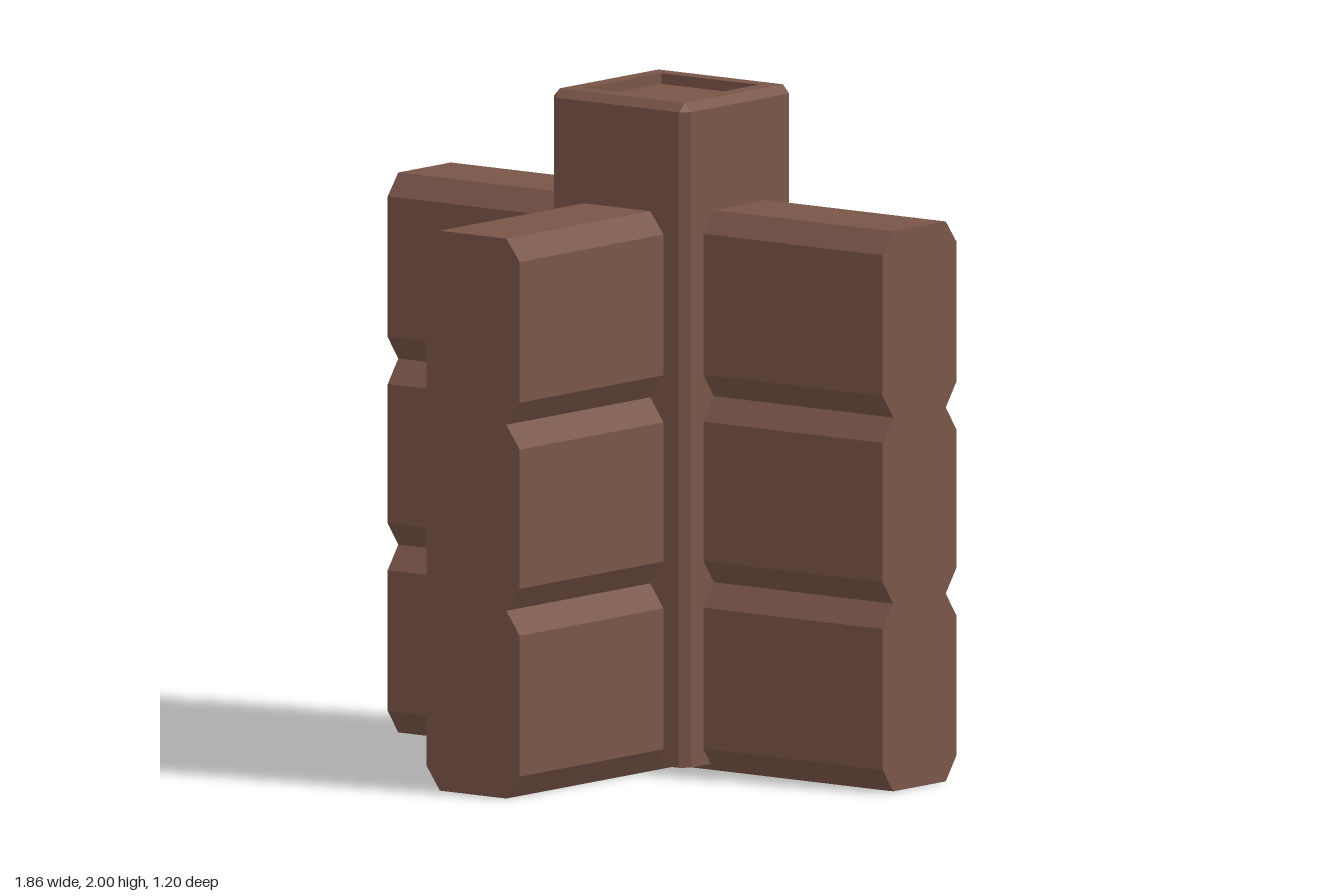
import * as THREE from 'three';

const POST_Z = -0.342;

// Octagonal ring: a square of the given half width with its corners cut.
function ring(half, cut, y) {
  const h = half, k = half - cut;
  return [[h, -k], [h, k], [k, h], [-k, h], [-h, k], [-h, -k], [-k, -h], [k, -h]]
    .map(([x, z]) => new THREE.Vector3(x, y, z));
}

// Skin a stack of rings with flat faces, skipping collapsed triangles.
function skin(rings) {
  const points = [];
  const tri = (a, b, c) => {
    const t = new THREE.Triangle(a, b, c);
    if (t.getArea() > 1e-7) points.push(a, b, c);
  };
  for (let r = 0; r < rings.length - 1; r++) {
    const lo = rings[r], hi = rings[r + 1];
    for (let i = 0; i < 8; i++) {
      const j = (i + 1) % 8;
      tri(lo[i], hi[i], hi[j]);
      tri(lo[i], hi[j], lo[j]);
    }
  }
  const geometry = new THREE.BufferGeometry().setFromPoints(points);
  geometry.computeVertexNormals();
  return geometry;
}

// Cross-section of three stacked planks with bevelled edges.
function plankShape() {
  const side = [
    [0.125, 0], [0.175, 0.07], [0.175, 0.49], [0.125, 0.56], [0.175, 0.63],
    [0.175, 1.045], [0.125, 1.115], [0.175, 1.185], [0.175, 1.605], [0.125, 1.67],
  ];
  const mirrored = side.map(([x, y]) => [-x, y]).reverse();
  return new THREE.Shape([...side, ...mirrored].map(([x, y]) => new THREE.Vector2(x, y)));
}

export function createModel() {
  const model = new THREE.Group();
  model.name = 'fenceJunction';
  const wood = new THREE.MeshStandardMaterial({ color: 0x795548 });
  wood.name = 'brownWood';

  const add = (name, geometry) => {
    const mesh = new THREE.Mesh(geometry, wood);
    mesh.name = name;
    model.add(mesh);
    return mesh;
  };

  // Bevelled post with a shallow square recess in the top
  const post = add('post', skin([
    ring(0, 0, 0.02),
    ring(0.258, 0.025, 0.02),
    ring(0.258, 0.025, 1.975),
    ring(0.234, 0, 2),
    ring(0.183, 0, 2),
    ring(0.183, 0, 1.968),
    ring(0, 0, 1.968),
  ]));
  post.position.set(-0.002, 0, POST_Z);

  // Plank wall running straight through the post
  const shape = plankShape();
  const cross = new THREE.ExtrudeGeometry(shape, { depth: 1.86, bevelEnabled: false });
  cross.translate(0, 0, -0.93);
  cross.rotateY(Math.PI / 2);
  add('crossPlanks', cross).position.z = POST_Z;

  // Plank wall branching to the front
  const branch = new THREE.ExtrudeGeometry(shape, { depth: 0.6 - POST_Z, bevelEnabled: false });
  add('frontPlanks', branch).position.set(-0.003, 0, POST_Z);

  return model;
}
